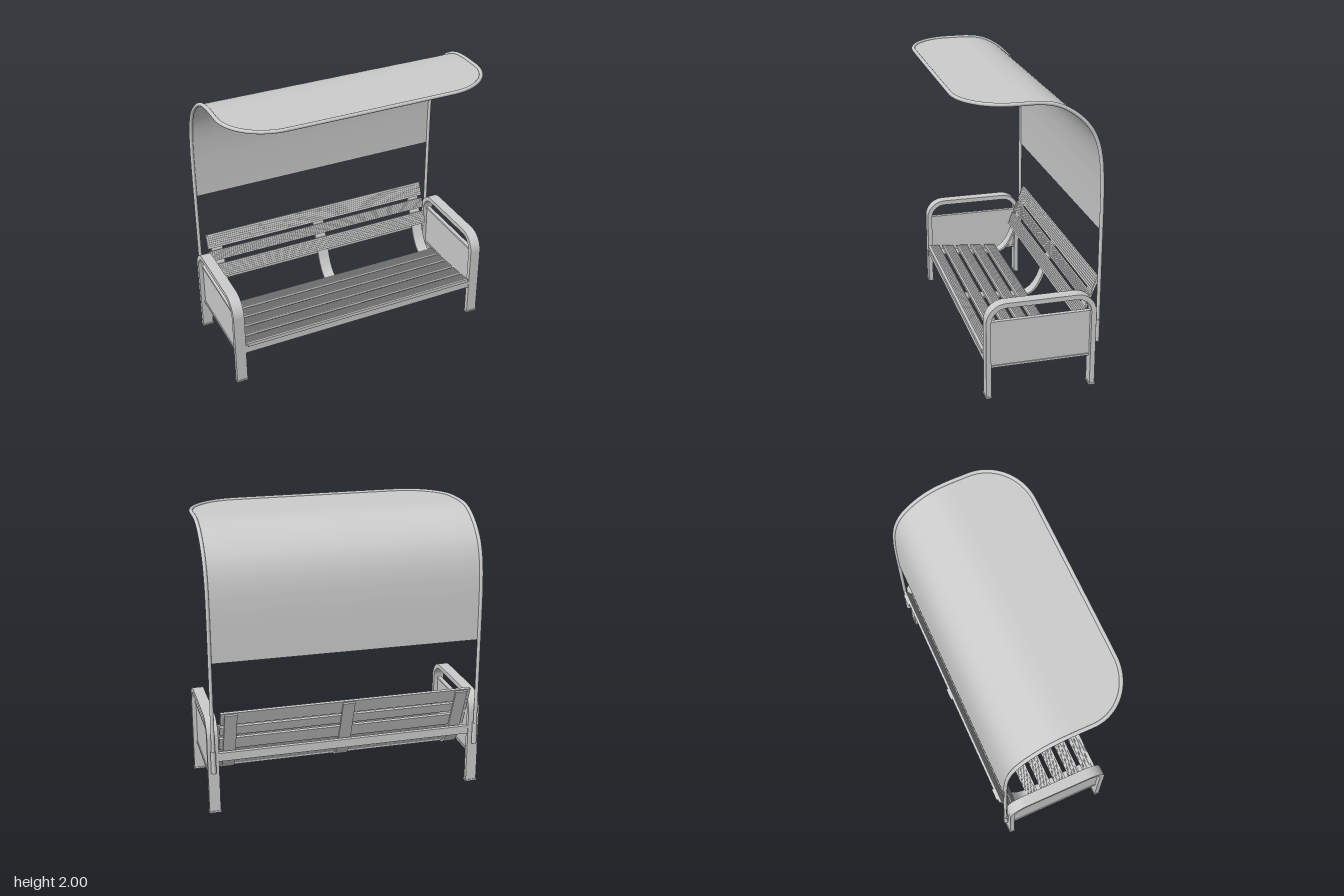
import * as THREE from 'three';
import { toCreasedNormals } from 'three/addons/utils/BufferGeometryUtils.js';

const grey = new THREE.MeshStandardMaterial({ color: 0xcccccc });
const greyThin = new THREE.MeshStandardMaterial({ color: 0xcccccc, side: THREE.DoubleSide });

export function createModel() {
  const model = new THREE.Group();

  const add = (name, geometry, x = 0, y = 0, z = 0, material = grey) => {
    const mesh = new THREE.Mesh(geometry, material);
    mesh.name = name;
    mesh.position.set(x, y, z);
    model.add(mesh);
    return mesh;
  };
  const box = (name, w, h, d, x, y, z) => add(name, new THREE.BoxGeometry(w, h, d), x, y, z);

  // Extrude a side outline of (z, y) points along x, centred on x = 0
  const extrudeX = (points, width) => {
    const shape = new THREE.Shape(points.map(p => new THREE.Vector2(-p.x, p.y)));
    const geo = new THREE.ExtrudeGeometry(shape, { depth: width, bevelEnabled: false });
    geo.translate(0, 0, -width / 2).rotateY(Math.PI / 2);
    return toCreasedNormals(geo, 0.5);
  };

  // Outline of a flat bar of thickness t bent along a path
  const band = (path, t) => {
    const pts = path.getPoints(10);
    const left = [], right = [];
    pts.forEach((p, i) => {
      const a = pts[Math.max(i - 1, 0)], b = pts[Math.min(i + 1, pts.length - 1)];
      const d = b.clone().sub(a).normalize();
      const n = new THREE.Vector2(-d.y, d.x).multiplyScalar(t / 2);
      left.push(p.clone().add(n));
      right.unshift(p.clone().sub(n));
    });
    return left.concat(right);
  };

  // Side frames: hoop of flat bar with feet, infill panel and rails
  const hoop = new THREE.Path();
  hoop.moveTo(0.305, 0);
  hoop.lineTo(0.305, 0.545);
  hoop.absarc(0.185, 0.545, 0.12, 0, Math.PI / 2, false);
  hoop.lineTo(-0.29, 0.665);
  hoop.absarc(-0.292, 0.545, 0.12, Math.PI / 2, Math.PI, false);
  hoop.lineTo(-0.412, 0);
  const hoopGeo = extrudeX(band(hoop, 0.034), 0.078);
  for (const s of [-1, 1]) {
    add('sideFrame', hoopGeo, s * 0.94);
    box('sidePanel', 0.016, 0.33, 0.69, s * 0.94, 0.38, -0.053);
    for (const y of [0.219, 0.54]) box('panelRail', 0.03, 0.014, 0.69, s * 0.94, y, -0.053);
    for (const z of [0.305, -0.412]) box('foot', 0.086, 0.012, 0.044, s * 0.94, 0.006, z);
  }

  // Cross rails between the side frames
  box('frontRail', 1.81, 0.062, 0.03, 0, 0.266, 0.303);
  box('backRail', 1.81, 0.06, 0.03, 0, 0.41, -0.41);

  // Bent straps carrying the seat and the backrest
  const bend = new THREE.Path();
  bend.moveTo(0.295, 0.288);
  bend.lineTo(-0.18, 0.245);
  bend.quadraticCurveTo(-0.295, 0.238, -0.355, 0.42);
  bend.lineTo(-0.478, 0.735);
  const strapGeo = extrudeX(band(bend, 0.014), 0.086);
  for (const x of [-0.818, 0, 0.818]) add('strap', strapGeo, x);

  // Ribbed slat: flat underneath, fine ridges along the top
  const slatGeo = width => {
    const ribs = 7, pitch = width / ribs, pts = [];
    const put = (u, v) => pts.push(new THREE.Vector2(u, v));
    put(-width / 2, -0.009);
    for (let i = 0; i < ribs; i++) {
      const u = -width / 2 + i * pitch;
      put(u, 0.009);
      put(u + pitch * 0.6, 0.009);
      if (i < ribs - 1) {
        put(u + pitch * 0.65, 0.006);
        put(u + pitch * 0.95, 0.006);
      }
    }
    put(width / 2, 0.009);
    put(width / 2, -0.009);
    return extrudeX(pts, 1.776);
  };

  // Seat slats, sloping slightly down to the back
  const seatGeo = slatGeo(0.088);
  for (let i = 0; i < 5; i++) {
    const z = 0.28 - i * 0.115;
    add('seatSlat', seatGeo, 0, 0.304 + (z - 0.28) * 0.09, z).rotation.x = -0.09;
  }
  box('seatFrontLip', 1.776, 0.026, 0.008, 0, 0.306, 0.326);

  // Backrest slats, leaning back: [centre height, visible height]
  const lean = 0.37;
  for (const [y, h] of [[0.485, 0.092], [0.595, 0.07], [0.7, 0.1]]) {
    const slat = add('backSlat', slatGeo(h / Math.cos(lean)), 0, y, -0.363 - (y - 0.485) * 0.39);
    slat.rotation.x = Math.PI / 2 - lean;
  }

  // Canopy side line as rows [half width, y, z], from the bottom edge to the front
  const half = 0.943;
  const side = new THREE.SplineCurve([
    [-0.452, 1.1], [-0.452, 1.25], [-0.45, 1.4], [-0.445, 1.5], [-0.435, 1.6], [-0.412, 1.7],
    [-0.37, 1.79], [-0.3, 1.87], [-0.21, 1.935], [-0.12, 1.972], [-0.02, 1.986], [0.08, 1.987],
  ].map(p => new THREE.Vector2(...p)));
  const rows = side.getPoints(44).map(p => [half, p.y, p.x]);
  for (let i = 0; i <= 20; i++) {
    const a = (i / 20) * Math.PI / 2;
    rows.push([half - 0.35 + 0.35 * Math.cos(a), 1.987, 0.13 + 0.32 * Math.sin(a)]);
  }

  // Canopy sheet
  const pos = [], index = [];
  rows.forEach(([w, y, z], i) => {
    pos.push(-w, y, z, w, y, z);
    if (i) {
      const k = 2 * i;
      index.push(k - 2, k, k - 1, k - 1, k, k + 1);
    }
  });
  const sheet = new THREE.BufferGeometry();
  sheet.setAttribute('position', new THREE.Float32BufferAttribute(pos, 3));
  sheet.setIndex(index);
  sheet.computeVertexNormals();
  add('canopySheet', sheet, 0, 0, 0, greyThin);

  // Bent tube around the canopy, running down into sockets behind the frames
  const run = [[half, 0.33, -0.452], [half, 0.7, -0.452], ...rows];
  const path = [
    ...run.map(([w, y, z]) => new THREE.Vector3(w, y, z)),
    ...run.slice().reverse().map(([w, y, z]) => new THREE.Vector3(-w, y, z)),
  ];
  add('canopyTube', new THREE.TubeGeometry(new THREE.CatmullRomCurve3(path), 320, 0.013, 12));
  for (const s of [-1, 1]) {
    add('tubeSocket', new THREE.CylinderGeometry(0.018, 0.018, 0.16, 16), s * half, 0.39, -0.448);
  }

  return model;
}
